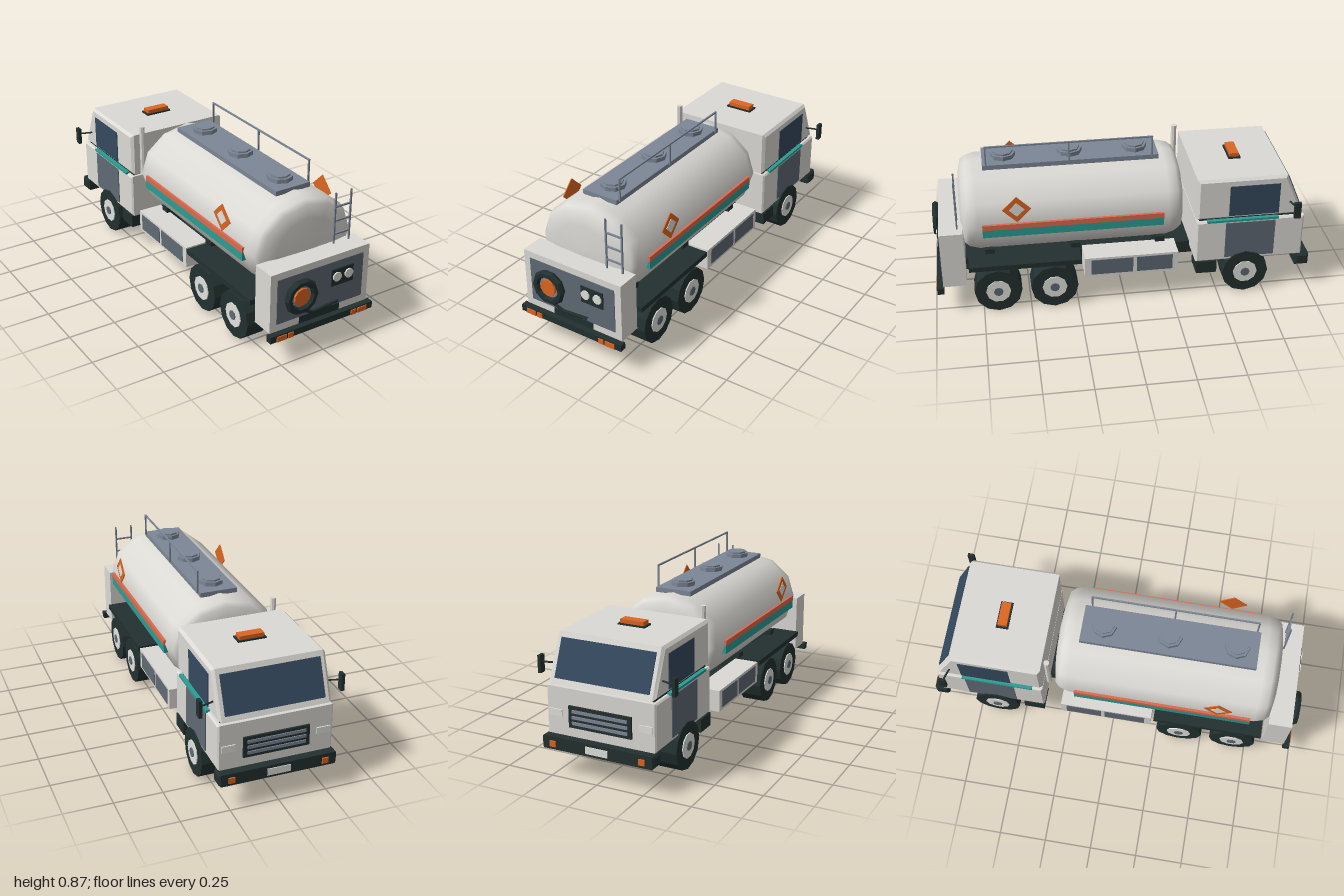
import * as THREE from 'three';
import { toCreasedNormals } from 'three/addons/utils/BufferGeometryUtils.js';

const mat = (name, color) => Object.assign(new THREE.MeshStandardMaterial({ color }), { name });
const paint = mat('light paint', 0xdcdad5);
const dark = mat('dark rubber', 0x22302f);
const panel = mat('panel grey', 0x606974);
const metal = mat('metal grey', 0x7d8796);
const glass = mat('window blue', 0x34495e);
const orange = mat('signal orange', 0xdd6622);
const coral = mat('stripe coral', 0xdc6a4e);
const teal = mat('stripe teal', 0x2a9d94);
const white = mat('hub white', 0xe2e2de);

export function createModel() {
  const root = new THREE.Group();
  root.name = 'tankerTruck';

  const add = (name, geo, m, x = 0, y = 0, z = 0) => {
    const mesh = new THREE.Mesh(geo, m);
    mesh.name = name;
    mesh.position.set(x, y, z);
    root.add(mesh);
    return mesh;
  };
  // Box given by its limits on each axis
  const box = (name, m, x0, x1, y0, y1, z0, z1) => add(name,
    new THREE.BoxGeometry(Math.abs(x1 - x0), y1 - y0, z1 - z0), m, (x0 + x1) / 2, (y0 + y1) / 2, (z0 + z1) / 2);
  // Flat-sided cylinder along a chosen axis
  const cyl = (name, m, axis, r, len, sides, x, y, z, rTop = r) => {
    const g = new THREE.CylinderGeometry(rTop, r, len, sides);
    if (axis === 'x') g.rotateZ(-Math.PI / 2);
    if (axis === 'z') g.rotateX(Math.PI / 2);
    return add(name, toCreasedNormals(g, 0.4), m, x, y, z);
  };
  const tube = (name, m, r, pts) => add(name, new THREE.TubeGeometry(
    new THREE.CatmullRomCurve3(pts.map(p => new THREE.Vector3(...p)), false, 'catmullrom', 0.1), 16, r, 6), m);
  // Extruded side profile of [z, y] points with bevelled edges
  const sideProfile = (name, m, pts, width, b) => {
    const g = new THREE.ExtrudeGeometry(new THREE.Shape(pts.map(p => new THREE.Vector2(...p))), {
      depth: width - 2 * b, bevelEnabled: true, bevelSize: b, bevelThickness: b, bevelOffset: -b, bevelSegments: 1 });
    g.translate(0, 0, -(width - 2 * b) / 2).rotateY(-Math.PI / 2);
    return add(name, g, m);
  };

  // Chassis
  box('chassis', dark, -0.12, 0.12, 0.15, 0.22, -0.9, 0.955);
  box('rearBumper', dark, -0.305, 0.305, 0.13, 0.165, 0.95, 0.985);
  for (const [a, b] of [[-0.27, -0.215], [-0.205, -0.175], [0.172, 0.203], [0.212, 0.268]])
    box('rearLamp', orange, a, b, 0.131, 0.158, 0.984, 0.99);

  // Wheels and axles
  for (const z of [0.67, 0.375, -0.645]) {
    cyl('axle', dark, 'x', 0.016, 0.4, 8, 0, 0.124, z);
    for (const s of [-1, 1]) {
      cyl('tyre', dark, 'x', 0.124, 0.125, 12, s * 0.2435, 0.124, z);
      cyl('rim', white, 'x', 0.065, 0.008, 10, s * 0.307, 0.124, z);
      cyl('hub', panel, 'x', 0.025, 0.012, 8, s * 0.31, 0.124, z);
    }
  }

  // Tank with domed ends: [radius scale, z]
  const half = [[1, 0.75], [0.95, 0.8], [0.87, 0.825], [0.6, 0.84], [0, 0.845]];
  const mid = 0.26;
  const prof = [...half.map(([r, z]) => [r, 2 * mid - z]).reverse(), ...half];
  const tankGeo = new THREE.LatheGeometry(prof.map(([r, z]) => new THREE.Vector2(r, z)), 12);
  tankGeo.rotateX(Math.PI / 2).scale(0.295, 0.24, 1);
  add('tank', tankGeo, paint, 0, 0.505, 0);
  for (const z of [0.7, 0.25, -0.2]) box('tankSaddle', dark, -0.19, 0.19, 0.2, 0.31, z - 0.025, z + 0.025);

  // Walkway, manholes and handrail
  box('walkway', metal, -0.1, 0.1, 0.735, 0.76, -0.2, 0.71);
  for (const z of [-0.085, 0.255, 0.6]) {
    cyl('manholeBase', metal, 'y', 0.065, 0.022, 8, 0, 0.771, z);
    cyl('manholeLid', metal, 'y', 0.052, 0.01, 8, 0, 0.786, z);
  }
  for (const z of [-0.165, 0.265, 0.69]) box('railPost', metal, 0.1, 0.108, 0.75, 0.87, z - 0.004, z + 0.004);
  box('handrail', metal, 0.1, 0.108, 0.864, 0.872, -0.169, 0.694);

  // Ladder
  for (const x of [0.143, 0.235]) box('ladderRail', metal, x - 0.004, x + 0.004, 0.48, 0.752, 0.855, 0.863);
  for (const y of [0.53, 0.602, 0.677]) box('ladderRung', metal, 0.143, 0.235, y - 0.004, y + 0.004, 0.855, 0.863);

  for (const s of [-1, 1]) {
    // Tank side stripes and hazard diamonds
    box('coralStripe', coral, s * 0.275, s * 0.302, 0.497, 0.525, -0.2, 0.73);
    box('tealStripe', teal, s * 0.265, s * 0.302, 0.455, 0.497, -0.2, 0.73);
    const d = 0.103;
    add('hazardPlate', new THREE.BoxGeometry(0.005, d, d), orange, s * 0.3, 0.61, 0.553).rotation.x = Math.PI / 4;
    add('hazardCentre', new THREE.BoxGeometry(0.003, 0.056, 0.056), white, s * 0.303, 0.61, 0.553).rotation.x = Math.PI / 4;

    // Rear mudguard and side locker
    box('mudguard', dark, s * 0.15, s * 0.308, 0.255, 0.282, 0.23, 0.815);
    box('locker', paint, s * 0.17, s * 0.303, 0.165, 0.28, -0.28, 0.215);
    for (const [a, b] of [[-0.04, 0.18], [-0.25, -0.06]])
      box('lockerDoor', panel, s * 0.302, s * 0.306, 0.18, 0.268, a, b);

    // Cab sides
    box('sideWindow', glass, s * 0.286, s * 0.292, 0.47, 0.645, -0.81, -0.545);
    box('doorPanel', panel, s * 0.295, s * 0.3, 0.22, 0.43, -0.795, -0.53);
    box('cabStripe', teal, s * 0.28, s * 0.301, 0.438, 0.451, -0.81, -0.43);
    box('cabStep', dark, s * 0.18, s * 0.3, 0.13, 0.2, -0.49, -0.38);
    tube('mirrorArm', dark, 0.005, [[s * 0.28, 0.53, -0.865], [s * 0.32, 0.53, -0.878], [s * 0.362, 0.53, -0.89]]);
    box('mirror', dark, s * 0.354, s * 0.371, 0.475, 0.565, -0.905, -0.87);

    // Cab nose lamps
    box('headlight', white, s * 0.21, s * 0.28, 0.295, 0.33, -0.956, -0.945);
    box('indicator', orange, s * 0.225, s * 0.258, 0.15, 0.18, -1, -0.985);
  }

  // Rear cabinet with hose reel, hose and gauges
  box('rearCabinet', paint, -0.29, 0.29, 0.165, 0.48, 0.83, 0.953);
  box('cabinetPanel', panel, -0.253, 0.253, 0.205, 0.445, 0.952, 0.957);
  const reel = new THREE.TorusGeometry(0.076, 0.02, 6, 10);
  add('hoseReel', toCreasedNormals(reel, 0.4), dark, -0.127, 0.33, 0.975);
  cyl('reelDisc', metal, 'z', 0.062, 0.02, 10, -0.127, 0.33, 0.966);
  cyl('reelHub', orange, 'z', 0.046, 0.028, 10, -0.127, 0.33, 0.972);
  tube('hose', dark, 0.008, [[-0.13, 0.252, 0.975], [-0.1, 0.24, 0.972], [-0.05, 0.217, 0.967], [0.1, 0.229, 0.967]]);
  box('gaugePanel', dark, 0.06, 0.19, 0.315, 0.405, 0.955, 0.964);
  for (const x of [0.09, 0.16]) cyl('gauge', white, 'z', 0.025, 0.008, 10, x, 0.365, 0.967);

  // Cab
  sideProfile('lowerCab', paint, [[-0.375, 0.2], [-0.375, 0.443], [-0.95, 0.443], [-0.95, 0.2]], 0.592, 0.008);
  box('cabWaist', dark, -0.275, 0.275, 0.43, 0.47, -0.925, -0.39);
  sideProfile('upperCab', paint, [[-0.375, 0.452], [-0.375, 0.687], [-0.848, 0.687], [-0.945, 0.452]], 0.576, 0.014);
  add('windscreen', new THREE.BoxGeometry(0.51, 0.198, 0.008), glass, 0, 0.57, -0.898).rotation.x = 0.392;
  cyl('exhaust', paint, 'y', 0.015, 0.275, 8, -0.24, 0.607, -0.343);
  box('beaconBase', dark, -0.074, 0.074, 0.685, 0.695, -0.645, -0.58);
  box('beacon', orange, -0.064, 0.064, 0.695, 0.715, -0.637, -0.588);

  // Grille and cab bumper
  box('grille', dark, -0.17, 0.17, 0.25, 0.36, -0.96, -0.945);
  for (const y of [0.275, 0.305, 0.335]) box('grilleSlat', metal, -0.15, 0.15, y - 0.008, y + 0.008, -0.965, -0.958);
  sideProfile('cabBumper', dark, [[-0.92, 0.135], [-0.92, 0.2], [-0.993, 0.2], [-0.993, 0.135]], 0.61, 0.01);
  box('numberPlate', white, -0.06, 0.06, 0.148, 0.185, -0.997, -0.991);

  return root;
}
